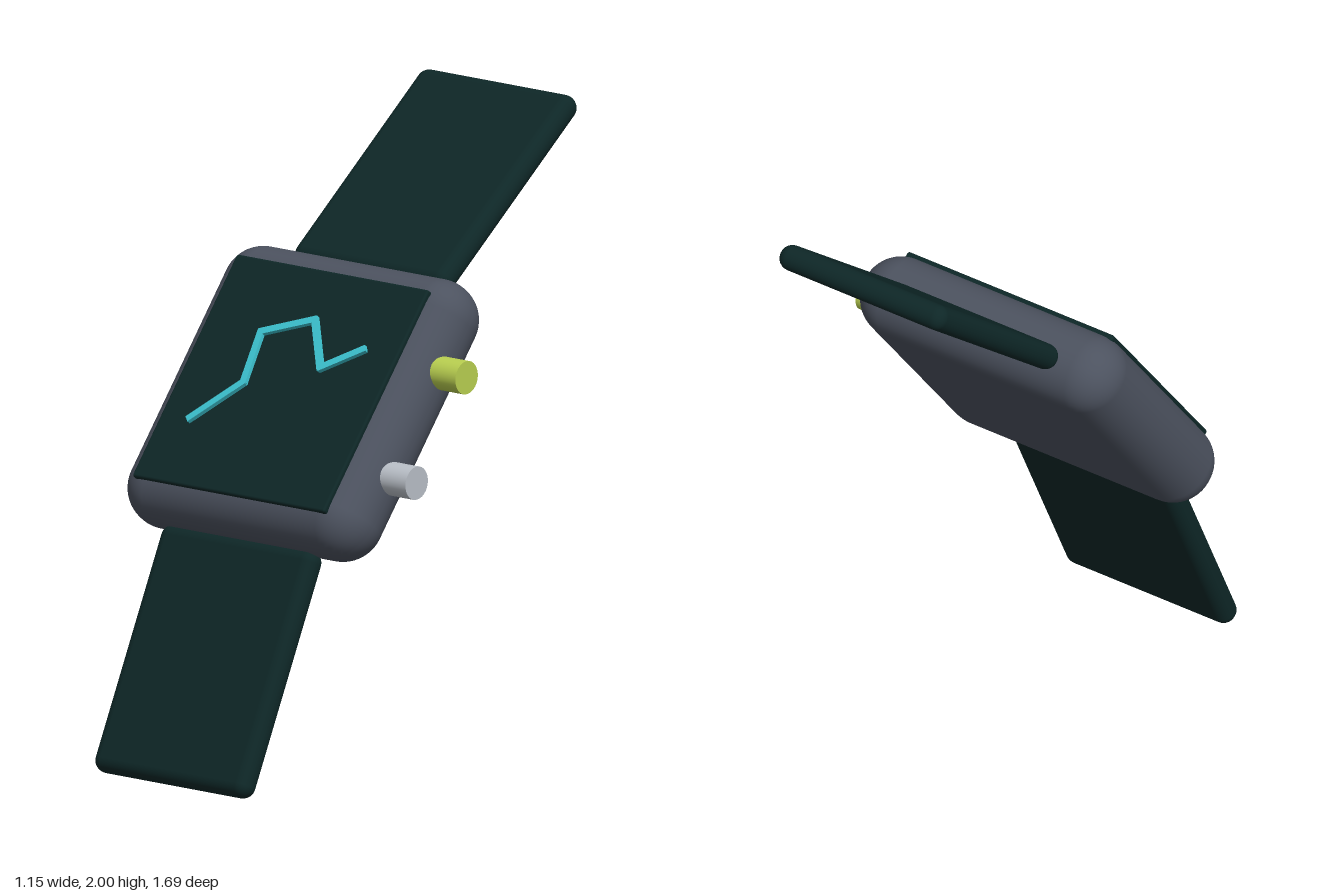
import * as THREE from 'three';
import { RoundedBoxGeometry } from 'three/addons/geometries/RoundedBoxGeometry.js';

const mat = (name, color) => {
  const m = new THREE.MeshStandardMaterial({ color });
  m.name = name;
  return m;
};

export function createModel() {
  const darkTeal = mat('dark teal', 0x0e2727);
  const slate = mat('slate grey', 0x4c525f);
  const lime = mat('lime', 0xb9cf50);
  const silver = mat('silver', 0xb9bfc7);
  const cyan = mat('cyan', 0x3cc3d0);

  const model = new THREE.Group();
  model.name = 'watch';

  // Tilted frame: x across the face, y along the strap, z out of the screen
  const watch = new THREE.Group();
  watch.name = 'tiltedWatch';
  watch.rotation.set(-0.667, -0.34, 0, 'YXZ');
  watch.position.set(-0.035, 1.12, 0.143);
  model.add(watch);

  const add = (name, geometry, material, x = 0, y = 0, z = 0) => {
    const mesh = new THREE.Mesh(geometry, material);
    mesh.name = name;
    mesh.position.set(x, y, z);
    watch.add(mesh);
    return mesh;
  };

  // Case and raised screen
  add('case', new RoundedBoxGeometry(0.98, 0.98, 0.26, 6, 0.128), slate);
  add('screen', new RoundedBoxGeometry(0.8, 0.8, 0.03, 2, 0.008), darkTeal, 0, 0, 0.124);

  // Two straps bending away behind the case
  for (const s of [1, -1]) {
    const strap = add(s > 0 ? 'upperStrap' : 'lowerStrap',
      new RoundedBoxGeometry(0.64, 0.81, 0.082, 4, 0.04), darkTeal, 0, s * 0.866, -0.113);
    strap.rotation.x = -s * 0.23;
  }

  // Side buttons
  for (const [name, material, y] of [['upperButton', lime, 0.185], ['lowerButton', silver, -0.195]]) {
    const button = add(name, new THREE.CylinderGeometry(0.053, 0.053, 0.15, 32), material, 0.51, y, 0.008);
    button.rotation.z = -Math.PI / 2;
  }

  // Zigzag line on the screen, one thin bar per segment
  const line = [[-0.275, -0.178], [-0.133, -0.025], [-0.157, 0.153], [0.028, 0.226], [0.135, 0.07], [0.268, 0.158]];
  for (let i = 0; i < line.length - 1; i++) {
    const [x0, y0] = line[i], [x1, y1] = line[i + 1];
    const length = Math.hypot(x1 - x0, y1 - y0) + 0.016;
    const bar = add('pulseLine' + (i + 1), new THREE.BoxGeometry(length, 0.023, 0.02), cyan,
      (x0 + x1) / 2, (y0 + y1) / 2, 0.143);
    bar.rotation.z = Math.atan2(y1 - y0, x1 - x0);
  }

  return model;
}
